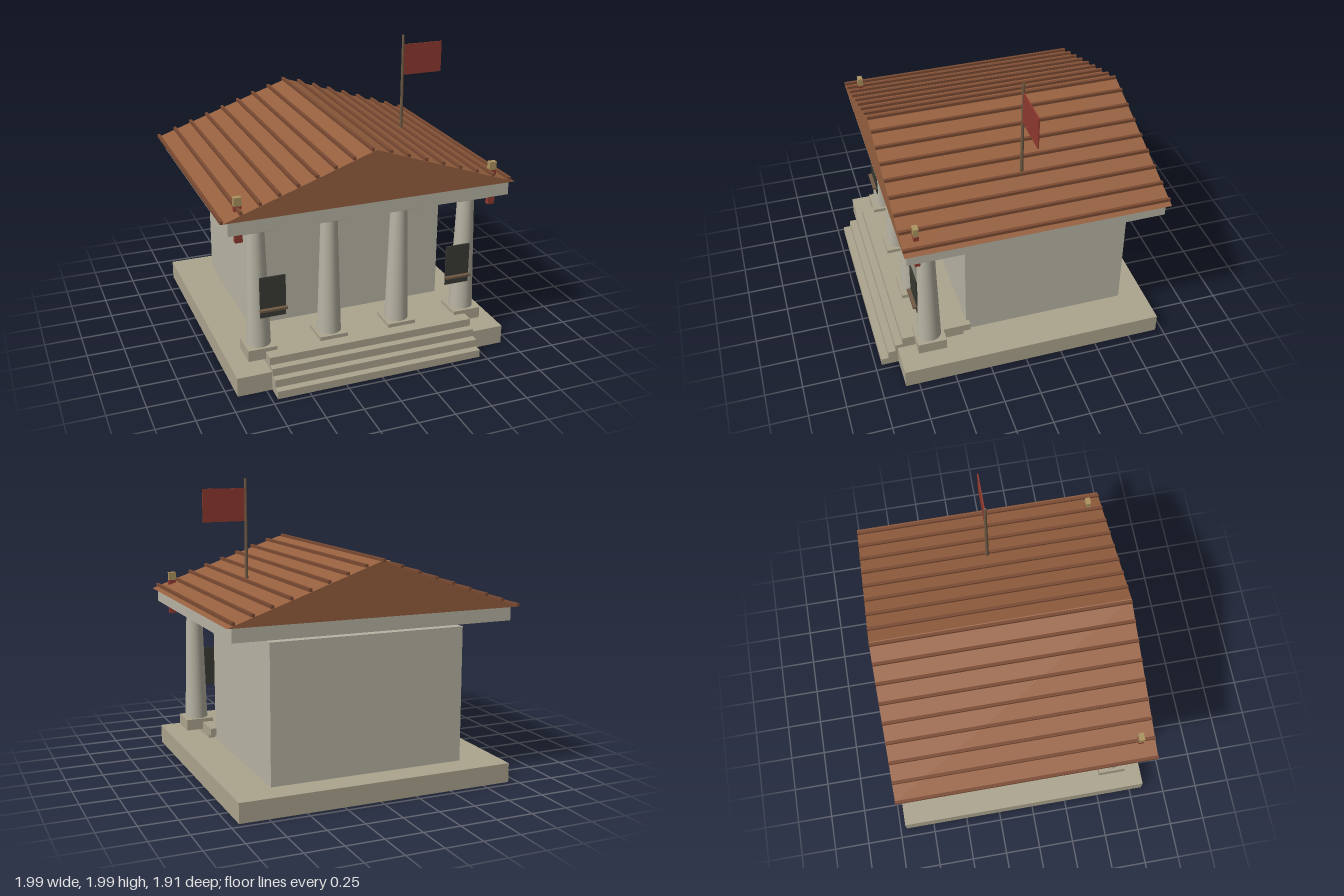
import * as THREE from 'three';

const mat = (color) => new THREE.MeshStandardMaterial({ color });

export function createModel() {
  const model = new THREE.Group();
  const stone = mat(0xb8b4a4), paving = mat(0xaca48e), tile = mat(0x96603f), rib = mat(0x7a4a32);
  const red = mat(0x8f3a2f), gold = mat(0xac9360), dark = mat(0x3a3a34), wood = mat(0x6f5a44);

  const add = (name, geometry, material, x = 0, y = 0, z = 0) => {
    const mesh = new THREE.Mesh(geometry, material);
    mesh.name = name;
    mesh.position.set(x, y, z);
    model.add(mesh);
    return mesh;
  };
  // box given by its [min, max] along each axis
  const box = (name, material, [x0, x1], [y0, y1], [z0, z1]) =>
    add(name, new THREE.BoxGeometry(x1 - x0, y1 - y0, z1 - z0), material,
      (x0 + x1) / 2, (y0 + y1) / 2, (z0 + z1) / 2);

  // base, inner hall and the beam slab under the roof
  box('base', paving, [-0.94, 0.94], [0, 0.13], [-0.955, 0.84]);
  box('hall', stone, [-0.67, 0.67], [0.13, 1.04], [-0.775, 0.35]);
  box('entablature', stone, [-0.95, 0.95], [1.08, 1.175], [-0.9, 0.787]);

  // front stair: equal treads, each set back from the one below
  const rise = 0.0525;
  for (let i = 0; i < 4; i++) {
    const front = 0.957 - i * 0.051;
    box('step', paving, [-0.712, 0.712], [i * rise, (i + 1) * rise], [front - 0.475, front]);
  }

  // colonnade
  const shaft = new THREE.CylinderGeometry(0.055, 0.08, 0.815, 18);
  for (const x of [-0.73, -0.243, 0.243, 0.73]) {
    add('columnPlinth', new THREE.BoxGeometry(0.195, 0.077, 0.195), paving, x, 0.197, 0.622);
    add('columnShaft', shaft, stone, x, 0.6425, 0.622);
    add('columnCapital', new THREE.BoxGeometry(0.212, 0.03, 0.212), paving, x, 1.065, 0.622);
  }

  // gabled roof
  const half = 0.985, eave = 1.172, ridge = 1.514, back = -0.925, front = 0.804;
  const gable = new THREE.Shape([
    new THREE.Vector2(-half, eave), new THREE.Vector2(half, eave), new THREE.Vector2(0, ridge),
  ]);
  add('roof', new THREE.ExtrudeGeometry(gable, { depth: front - back, bevelEnabled: false }),
    tile, 0, 0, back);

  // tile ribs running front to back
  for (let i = 0; i < 17; i++) {
    const x = -0.99 + i * 0.121;
    const y = ridge - (ridge - eave) * Math.abs(x) / half + 0.012;
    add('roofRib', new THREE.BoxGeometry(0.02, 0.02, front - back), rib, x, y, (front + back) / 2);
  }

  // mirrored hanging banners and notice boards
  for (const s of [-1, 1]) {
    add('cornerBanner', new THREE.BoxGeometry(0.048, 0.24, 0.034), red, s * 0.865, 1.12, 0.707);
    add('bannerCap', new THREE.BoxGeometry(0.05, 0.056, 0.034), gold, s * 0.865, 1.267, 0.707);
    add('noticeBoard', new THREE.BoxGeometry(0.172, 0.28, 0.01), dark, s * 0.65, 0.584, 0.694);
    add('boardLedge', new THREE.BoxGeometry(0.182, 0.014, 0.03), wood, s * 0.65, 0.5, 0.71);
  }

  // flag on its pole
  add('flagPole', new THREE.CylinderGeometry(0.009, 0.012, 0.66, 8), wood, 0.563, 1.66, -0.06);
  box('flag', red, [0.572, 0.856], [1.71, 1.925], [-0.064, -0.056]);

  return model;
}
